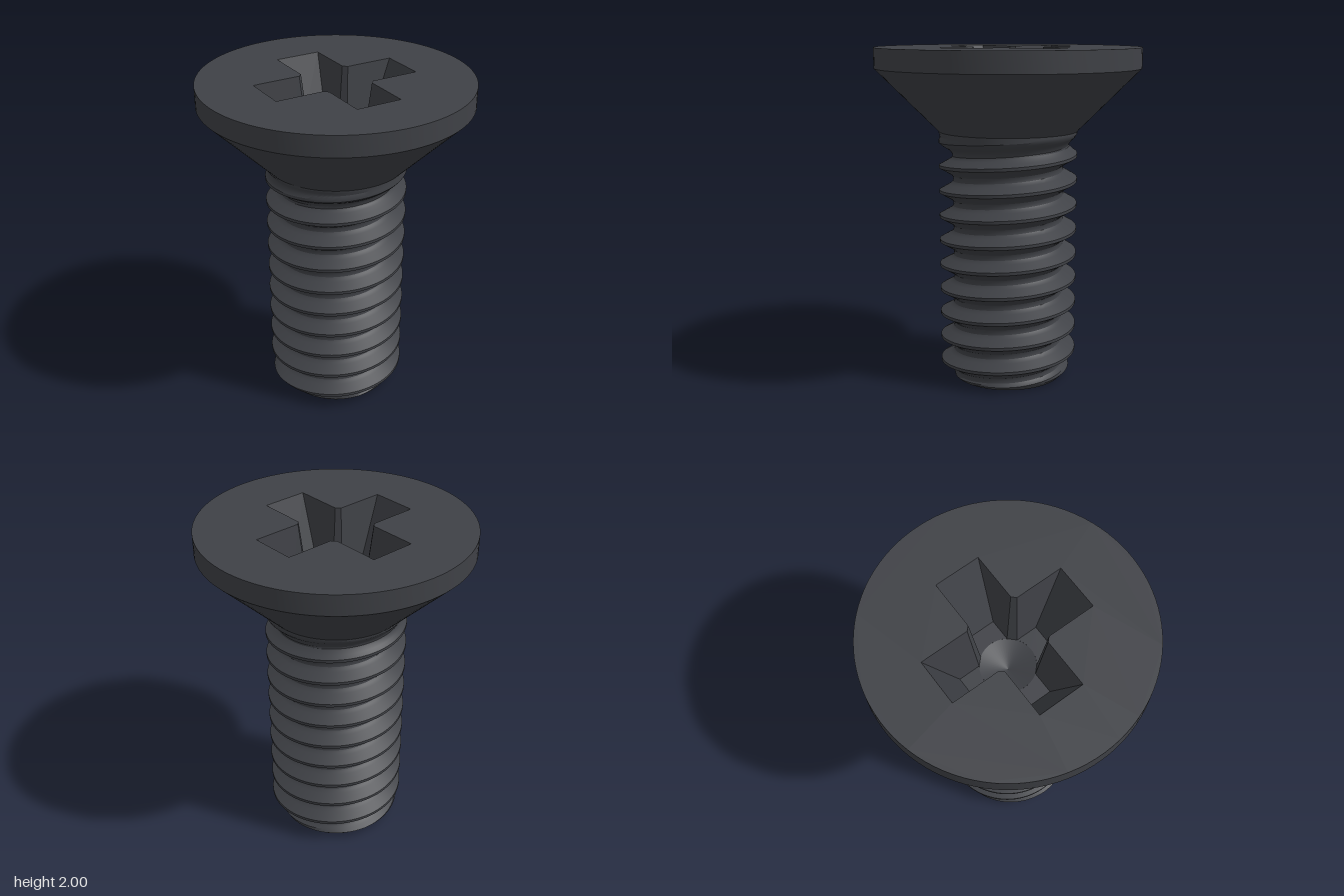
import * as THREE from 'three';
import { toCreasedNormals } from 'three/addons/utils/BufferGeometryUtils.js';

const PITCH = 0.15, MAJOR = 0.413, MINOR = 0.328, NECK_Y = 1.51;
const HEAD_R = 0.783, RECESS_DEPTH = 0.42, SEGMENTS = 96;

// Half of one thread profile: [distance from crest centre, groove depth 0..1]
const PROFILE = [[0, 0], [0.009, 0], [0.025, 0.33], [0.041, 0.66], [0.051, 0.86], [0.06, 0.96], [0.075, 1]];

function grooveDepth(d) {
  for (let i = 1; i < PROFILE.length; i++) {
    const [x0, g0] = PROFILE[i - 1], [x1, g1] = PROFILE[i];
    if (d <= x1) return g0 + (g1 - g0) * (d - x0) / (x1 - x0);
  }
  return 1;
}

// Radius of the threaded shank, with run-out under the head and a chamfered tip
function shankRadius(y, angle) {
  const turns = y / PITCH + angle / (2 * Math.PI);
  const d = Math.abs(turns - Math.round(turns)) * PITCH;
  const fade = 1 - Math.min(1, Math.max(0, (y - 1.35) / 0.15)) ** 1.5;
  return Math.min(MAJOR - (MAJOR - MINOR) * grooveDepth(d) * fade, MINOR + y);
}

// Rows follow the helix so the crest edges stay crisp
function threadGeometry() {
  const offsets = [...PROFILE.map(p => p[0]), ...PROFILE.slice(1, -1).reverse().map(p => PITCH - p[0])];
  const rows = [];
  for (let k = -1; k <= 12; k++) offsets.forEach(o => rows.push(k * PITCH + o));
  const point = (row, i) => {
    const a = i / SEGMENTS * Math.PI * 2;
    const y = THREE.MathUtils.clamp(row - PITCH * i / SEGMENTS, 0, NECK_Y);
    const r = shankRadius(y, a);
    return new THREE.Vector3(r * Math.cos(a), y, r * Math.sin(a));
  };
  const points = [];
  for (let j = 0; j < rows.length - 1; j++) {
    for (let i = 0; i < SEGMENTS; i++) {
      const a = point(rows[j], i), b = point(rows[j + 1], i);
      const c = point(rows[j + 1], i + 1), d = point(rows[j], i + 1);
      if (b.y - a.y > 1e-6) points.push(a, b, d);
      if (c.y - d.y > 1e-6) points.push(b, c, d);
    }
  }
  return toCreasedNormals(new THREE.BufferGeometry().setFromPoints(points), 0.5);
}

// Cross outline with clipped inner corners, anticlockwise
function crossOutline(length, half, clip) {
  const arm = [[clip, -half], [length, -half], [length, half], [clip, half]];
  const loop = [];
  for (let k = 0; k < 4; k++) {
    arm.forEach(([x, y]) => loop.push(new THREE.Vector2(x, y).rotateAround(new THREE.Vector2(), k * Math.PI / 2)));
  }
  return loop;
}

// Tapered walls between the recess mouth and its floor
function recessWalls(top, bottom) {
  const at = (p, y) => new THREE.Vector3(p.x, y, -p.y);
  const points = [];
  top.forEach((p, i) => {
    const n = (i + 1) % top.length;
    const a = at(p, 2), b = at(top[n], 2);
    const A = at(bottom[i], 2 - RECESS_DEPTH), B = at(bottom[n], 2 - RECESS_DEPTH);
    points.push(a, b, B, a, B, A);
  });
  const g = new THREE.BufferGeometry().setFromPoints(points);
  g.computeVertexNormals();
  return g;
}

export function createModel() {
  const group = new THREE.Group();
  const material = new THREE.MeshStandardMaterial({ color: 0x3f4146 });
  const inner = new THREE.MeshStandardMaterial({ color: 0x3f4146, side: THREE.DoubleSide });
  const add = (name, geometry, mat = material) => {
    const mesh = new THREE.Mesh(geometry, mat);
    mesh.name = name;
    group.add(mesh);
    return mesh;
  };

  // Shank
  add('threadedShank', threadGeometry());
  add('shankTip', new THREE.CircleGeometry(MINOR, SEGMENTS).rotateX(Math.PI / 2));

  // Countersunk head
  const profile = [[MAJOR, NECK_Y], [HEAD_R, 1.88], [HEAD_R, 2]].map(p => new THREE.Vector2(...p));
  add('countersunkHead', toCreasedNormals(new THREE.LatheGeometry(profile, SEGMENTS), 0.5));

  // Flat top with the cross-shaped opening
  const mouth = crossOutline(0.443, 0.135, 0.158);
  const floor = crossOutline(0.26, 0.09, 0.13);
  const face = new THREE.Shape().absarc(0, 0, HEAD_R, 0, Math.PI * 2);
  face.holes.push(new THREE.Path(mouth));
  add('headTop', new THREE.ShapeGeometry(face, SEGMENTS / 2).rotateX(-Math.PI / 2)).position.y = 2;

  // Drive recess: walls, four arm floors and a shallow conical centre
  add('recessWalls', recessWalls(mouth, floor), inner);
  const coneR = Math.hypot(0.13, 0.09), half = Math.atan2(0.09, 0.13);
  for (let k = 0; k < 4; k++) {
    const arm = new THREE.Shape();
    arm.moveTo(0.13, -0.09);
    arm.lineTo(0.26, -0.09);
    arm.lineTo(0.26, 0.09);
    arm.lineTo(0.13, 0.09);
    arm.absarc(0, 0, coneR, half, -half, true);
    const g = new THREE.ShapeGeometry(arm, 8).rotateX(-Math.PI / 2).rotateY(k * Math.PI / 2);
    add('recessArmFloor', g, inner).position.y = 2 - RECESS_DEPTH;
  }
  const cone = new THREE.CylinderGeometry(coneR, 0, 0.06, 48, 1, true);
  add('recessCone', cone, inner).position.y = 2 - RECESS_DEPTH - 0.03;

  return group;
}
